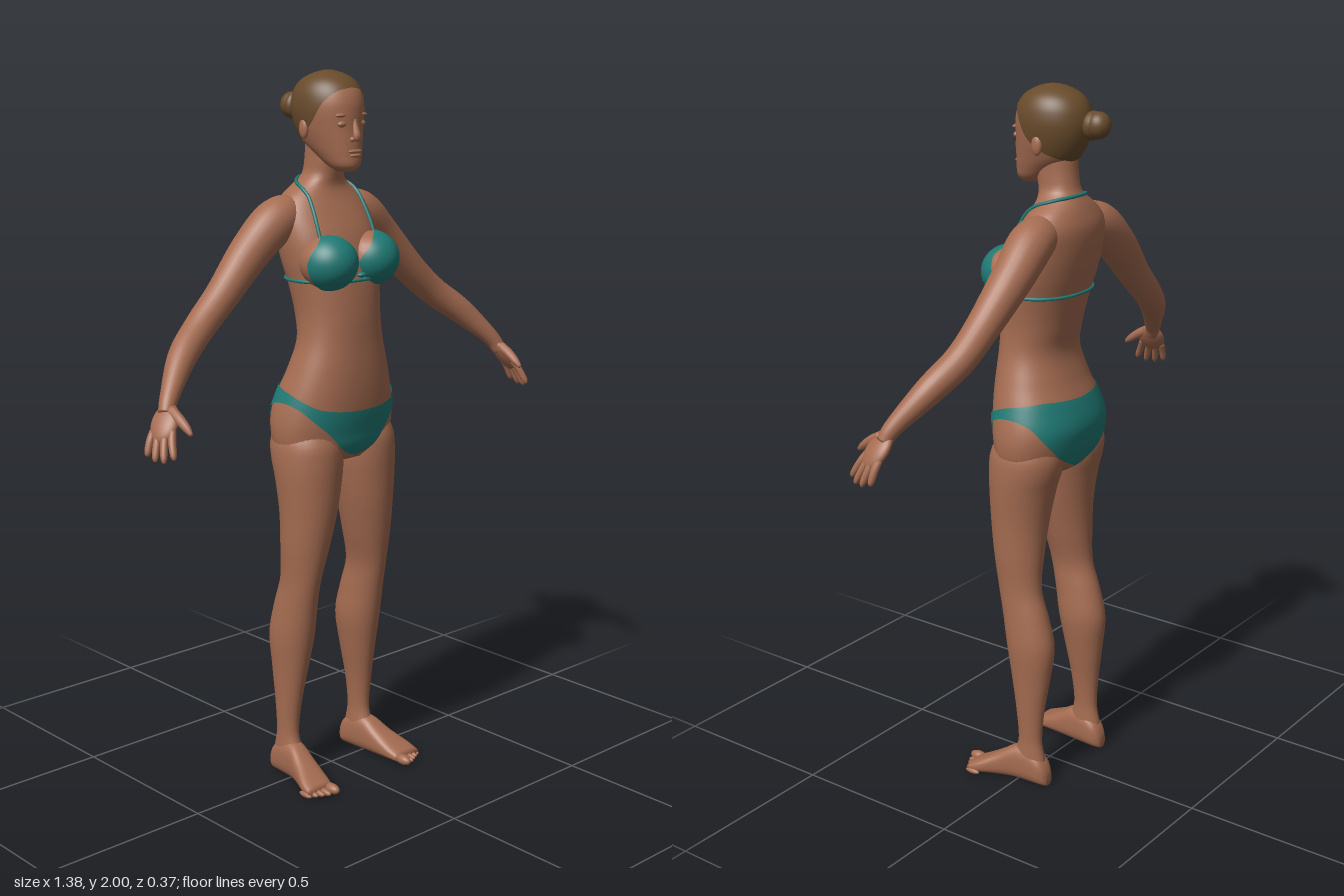
import * as THREE from 'three';
import { mergeVertices } from 'three/addons/utils/BufferGeometryUtils.js';

const V = (x, y, z) => new THREE.Vector3(x, y, z);
const mat = (name, color, side = THREE.FrontSide) => {
  const m = new THREE.MeshStandardMaterial({ color, side });
  m.name = name;
  return m;
};

// Smooth interpolation of rows [key, a, b, ...] in ascending key order.
function sample(rows, k) {
  const n = rows.length - 1;
  k = Math.min(Math.max(k, rows[0][0]), rows[n][0]);
  let i = 0;
  while (i < n - 1 && k > rows[i + 1][0]) i++;
  const slope = (j, c) => {
    const a = rows[Math.max(j - 1, 0)], b = rows[Math.min(j + 1, n)];
    return (b[c] - a[c]) / (b[0] - a[0]);
  };
  const A = rows[i], B = rows[i + 1], h = B[0] - A[0], t = (k - A[0]) / h;
  return A.slice(1).map((a, j) => {
    const c = j + 1, t2 = t * t, t3 = t2 * t;
    return a * (2 * t3 - 3 * t2 + 1) + B[c] * (3 * t2 - 2 * t3)
      + h * (slope(i, c) * (t3 - 2 * t2 + t) + slope(i + 1, c) * (t3 - t2));
  });
}

// Skin a grid of points fn(u, v); capped closes both end rings.
function grid(fn, nu, nv, capped = false) {
  const rows = [];
  for (let j = 0; j <= nv; j++) rows.push(Array.from({ length: nu + 1 }, (_, i) => fn((i % nu) / nu, j / nv)));
  if (capped) {
    const hub = (r) => {
      const c = V(0, 0, 0);
      for (let i = 0; i < nu; i++) c.addScaledVector(r[i], 1 / nu);
      return r.map(() => c.clone());
    };
    rows.unshift(hub(rows[0]));
    rows.push(hub(rows[rows.length - 1]));
  }
  const index = [], w = nu + 1;
  for (let j = 0; j < rows.length - 1; j++) for (let i = 0; i < nu; i++) {
    const a = j * w + i;
    index.push(a, a + w, a + 1, a + 1, a + w, a + w + 1);
  }
  const g = new THREE.BufferGeometry().setFromPoints(rows.flat());
  g.setIndex(index);
  const m = mergeVertices(g, 1e-5);
  m.computeVertexNormals();
  return m;
}

// Rounded section: rows are [y, centreX, halfWidth, zFront, zBack].
const pw = (v, e) => Math.sign(v) * Math.abs(v) ** e;
function section(rows, ang, y, off = 0, e = 0.92) {
  const [cx, rx, zf, zb] = sample(rows, y);
  return V(cx + (rx + off) * pw(Math.cos(ang), e), y, (zf + zb) / 2 + ((zf - zb) / 2 + off) * pw(Math.sin(ang), e));
}
const loft = (rows, y0, y1, nu, nv, e) =>
  grid((u, v) => section(rows, u * Math.PI * 2, y0 + (y1 - y0) * v, 0, e), nu, nv, true);

// Round limb through points [x, y, z, radius].
function limb(pts, nu = 12, nv = 12) {
  const rows = pts.map((p, i) => [i, ...p]), end = pts.length - 1;
  return grid((u, v) => {
    const [x, y, z, r] = sample(rows, v * end), a = u * Math.PI * 2;
    const p = sample(rows, v * end - 0.05), q = sample(rows, v * end + 0.05);
    const T = V(q[0] - p[0], q[1] - p[1], q[2] - p[2]).normalize();
    const N = V(0, 0, 1).cross(T).normalize(), B = T.clone().cross(N);
    return V(x, y, z).addScaledVector(N, r * Math.cos(a)).addScaledVector(B, -r * Math.sin(a));
  }, nu, nv, true);
}
const ball = (x, y, z, rx, ry, rz) => new THREE.SphereGeometry(1, 24, 16).scale(rx, ry, rz).translate(x, y, z);

function mirrored(geo) {
  const g = geo.clone().scale(-1, 1, 1), ix = g.index.array;
  for (let i = 0; i < ix.length; i += 3) [ix[i], ix[i + 1]] = [ix[i + 1], ix[i]];
  g.computeVertexNormals();
  return g;
}

const TORSO = [
  [0.945, 0, 0.15, 0.085, -0.08], [0.98, 0, 0.185, 0.112, -0.105], [1.03, 0, 0.195, 0.122, -0.12],
  [1.08, 0, 0.19, 0.13, -0.125], [1.14, 0, 0.174, 0.134, -0.108], [1.2, 0, 0.154, 0.134, -0.083],
  [1.28, 0, 0.13, 0.13, -0.062], [1.35, 0, 0.125, 0.127, -0.075], [1.43, 0, 0.134, 0.118, -0.095],
  [1.5, 0, 0.147, 0.103, -0.115], [1.57, 0, 0.153, 0.08, -0.128], [1.63, 0, 0.148, 0.048, -0.13],
  [1.67, 0, 0.12, 0.026, -0.118], [1.695, 0, 0.084, 0.018, -0.107], [1.72, 0, 0.056, 0.022, -0.093],
  [1.76, 0, 0.05, 0.03, -0.085], [1.82, 0, 0.05, 0.03, -0.08]];
const HEAD = [
  [1.735, 0, 0.022, 0.085, 0.03], [1.75, 0, 0.04, 0.098, 0], [1.78, 0, 0.056, 0.099, -0.045],
  [1.81, 0, 0.068, 0.098, -0.085], [1.85, 0, 0.08, 0.095, -0.108], [1.89, 0, 0.087, 0.095, -0.119],
  [1.92, 0, 0.087, 0.092, -0.118], [1.95, 0, 0.08, 0.08, -0.108], [1.975, 0, 0.063, 0.058, -0.086],
  [1.992, 0, 0.036, 0.025, -0.05], [2, 0, 0.008, -0.005, -0.02]];
const LEG = [
  [0.04, 0.14, 0.03, 0.03, -0.085], [0.08, 0.14, 0.03, 0.02, -0.08], [0.13, 0.14, 0.027, 0.005, -0.07],
  [0.22, 0.138, 0.033, 0.012, -0.075], [0.33, 0.132, 0.046, 0.03, -0.09], [0.43, 0.128, 0.057, 0.048, -0.1],
  [0.52, 0.128, 0.053, 0.062, -0.08], [0.6, 0.127, 0.05, 0.077, -0.056], [0.7, 0.118, 0.065, 0.095, -0.055],
  [0.8, 0.108, 0.079, 0.108, -0.062], [0.9, 0.102, 0.093, 0.114, -0.08], [0.95, 0.1, 0.097, 0.115, -0.095],
  [1, 0.1, 0.093, 0.11, -0.1], [1.06, 0.1, 0.07, 0.08, -0.08]];
// Foot rows: [z, centreX, halfWidth, height]
const FOOT = [
  [-0.095, 0.138, 0.016, 0.045], [-0.08, 0.138, 0.028, 0.075], [-0.04, 0.14, 0.033, 0.105], [0.01, 0.144, 0.034, 0.105],
  [0.06, 0.154, 0.04, 0.075], [0.11, 0.167, 0.047, 0.046], [0.145, 0.173, 0.045, 0.028]];
// Garment and hair edges by angle in degrees from back (-90) to front (90): [angle, low, high]
const BRIEF = [
  [-90, 0.95, 1.155], [-65, 0.995, 1.158], [-45, 1.05, 1.16], [-25, 1.1, 1.155], [0, 1.115, 1.145],
  [25, 1.1, 1.125], [45, 1.065, 1.105], [60, 1.03, 1.097], [75, 0.978, 1.092], [90, 0.955, 1.09]];
const HAIRLINE = [[-90, 1.8], [-40, 1.815], [-5, 1.84], [15, 1.87], [35, 1.92], [60, 1.948], [90, 1.957]];
const CUP = [[0, 1.5], [45, 1.35], [75, 1.5], [105, 1.15], [135, 0.9], [180, 1.1], [225, 1.35], [270, 1.4], [315, 1.45], [360, 1.5]];
const fold = (a) => Math.asin(Math.sin(a)) * 180 / Math.PI;

export function createModel() {
  const skin = mat('skin', 0xa56c51);
  const cloth = mat('teal cloth', 0x1f7a75, THREE.DoubleSide);
  const hair = mat('brown hair', 0x694b2b, THREE.DoubleSide);
  const root = new THREE.Group();
  root.name = 'standingFigure';
  const add = (name, geo, m = skin) => {
    const mesh = new THREE.Mesh(geo, m);
    mesh.name = name;
    root.add(mesh);
  };
  const pair = (name, geo, m = skin) => {
    add(name + 'Left', geo, m);
    add(name + 'Right', mirrored(geo), m);
  };
  const TAU = Math.PI * 2;

  // Body and head
  add('torso', loft(TORSO, 0.945, 1.82, 56, 80));
  add('head', loft(HEAD, 1.735, 1.985, 48, 40, 1));
  pair('leg', loft(LEG, 0.04, 1.06, 32, 60, 1));

  // Face
  add('nose', limb([[0, 1.875, 0.089, 0.006], [0, 1.85, 0.096, 0.009], [0, 1.828, 0.101, 0.011], [0, 1.818, 0.097, 0.006]]));
  pair('nostril', ball(0.011, 1.822, 0.094, 0.008, 0.007, 0.009));
  pair('eyelid', ball(0.034, 1.862, 0.08, 0.015, 0.009, 0.01));
  pair('brow', ball(0.034, 1.885, 0.079, 0.022, 0.006, 0.01));
  add('upperLip', ball(0, 1.79, 0.095, 0.024, 0.006, 0.009));
  add('lowerLip', ball(0, 1.779, 0.095, 0.019, 0.006, 0.009));
  pair('ear', ball(0.083, 1.848, -0.018, 0.01, 0.027, 0.016));

  // Hair with a coiled bun
  add('hairCap', grid((u, v) => {
    const a = u * TAU, low = sample(HAIRLINE, fold(a))[0];
    return section(HEAD, a, low + (2 - low) * v, 0.004, 1);
  }, 72, 30), hair);
  add('hairCrown', ball(0, 1.99, -0.012, 0.03, 0.01, 0.03), hair);
  add('bun', ball(-0.003, 1.902, -0.155, 0.034, 0.036, 0.033), hair);
  add('bunCoil', new THREE.TorusGeometry(0.024, 0.015, 12, 28).translate(-0.003, 1.9, -0.138), hair);

  // Arms
  pair('arm', limb([[0.07, 1.625, -0.05, 0.045], [0.15, 1.606, -0.052, 0.061], [0.24, 1.532, -0.056, 0.056],
    [0.35, 1.425, -0.045, 0.046], [0.435, 1.352, -0.034, 0.042], [0.52, 1.287, -0.002, 0.038],
    [0.6, 1.205, 0.047, 0.025], [0.625, 1.165, 0.064, 0.021]], 24, 50));

  // Hands: palm, four fingers and thumb along the forearm direction
  const d = V(0.09, -0.135, 0.05).normalize(), c = V(0.637, 1.146, 0.074);
  const w = V(-0.25, 0, 1).addScaledVector(d, -V(-0.25, 0, 1).dot(d)).normalize();
  const n = d.clone().cross(w);
  const palm = new THREE.SphereGeometry(1, 24, 16).scale(0.056, 0.04, 0.018);
  pair('palm', palm.applyMatrix4(new THREE.Matrix4().makeBasis(d, w, n).setPosition(c)));
  [0.064, 0.078, 0.082, 0.074].forEach((len, i) => {
    const s = (i - 1.5) * 0.019;
    const at = (t, r) => {
      const p = c.clone().addScaledVector(d, 0.02 + len * t).addScaledVector(w, s * (1 + 0.45 * t));
      return [p.x - 0.012 * t * t, p.y - 0.004 * t * t, p.z, r];
    };
    pair('finger' + (i + 1), limb([at(0, 0.01), at(0.4, 0.0105), at(0.9, 0.009), at(1.08, 0.004)], 10, 10));
  });
  pair('thumb', limb([[0.618, 1.178, 0.075, 0.014], [0.618, 1.16, 0.108, 0.014], [0.617, 1.14, 0.138, 0.011], [0.617, 1.126, 0.156, 0.005]]));

  // Feet and toes
  pair('foot', grid((u, v) => {
    const z = -0.095 + 0.24 * v, a = u * TAU, [cx, hw, h] = sample(FOOT, z);
    return V(cx - hw * pw(Math.cos(a), 0.75), h / 2 + h / 2 * pw(Math.sin(a), 0.75), z);
  }, 32, 30, true));
  for (let i = 0; i < 5; i++) {
    const r = i ? 0.0105 - i * 0.0006 : 0.015;
    pair('toe' + (i + 1), ball(i ? 0.148 + i * 0.0165 : 0.142, r, 0.158 - i * 0.008, r, r, 0.028 - i * 0.001));
  }

  // Bust and cups
  const bx = 0.077, by = 1.497, bz = 0.07;
  pair('bust', ball(bx, by, bz, 0.076, 0.073, 0.083));
  pair('cup', grid((u, v) => {
    const a = v * sample(CUP, u * 360)[0], f = u * TAU;
    return V(bx + 0.08 * Math.sin(a) * Math.cos(f), by + 0.077 * Math.sin(a) * Math.sin(f), bz + 0.087 * Math.cos(a));
  }, 56, 18), cloth);

  // Straps laid on the body surface: [angle in degrees, y]
  const onBody = (pts) => pts.map(([a, y]) => section(TORSO, a * Math.PI / 180, y, 0.003));
  const ring = Array.from({ length: 48 }, (_, i) => [i * 7.5, 1.447]);
  add('backStrap', new THREE.TubeGeometry(new THREE.CatmullRomCurve3(onBody(ring), true), 96, 0.0045, 8, true), cloth);
  const rise = [[52, 1.56], [53, 1.6], [52, 1.64], [44, 1.67], [20, 1.69], [-10, 1.702], [-45, 1.71], [-70, 1.713]];
  const halter = [...rise, [-90, 1.714], ...rise.map(([a, y]) => [-180 - a, y]).reverse()];
  add('neckStrap', new THREE.TubeGeometry(new THREE.CatmullRomCurve3(onBody(halter)), 120, 0.005, 8), cloth);
  add('centreTie', ball(0, 1.462, 0.122, 0.014, 0.007, 0.01), cloth);

  // Brief
  add('brief', grid((u, v) => {
    const a = u * TAU, [low, high] = sample(BRIEF, fold(a));
    return section(TORSO, a, low + (high - low) * v, 0.004);
  }, 120, 24), cloth);
  add('briefGusset', ball(0, 0.955, 0, 0.03, 0.016, 0.085), cloth);
  return root;
}
